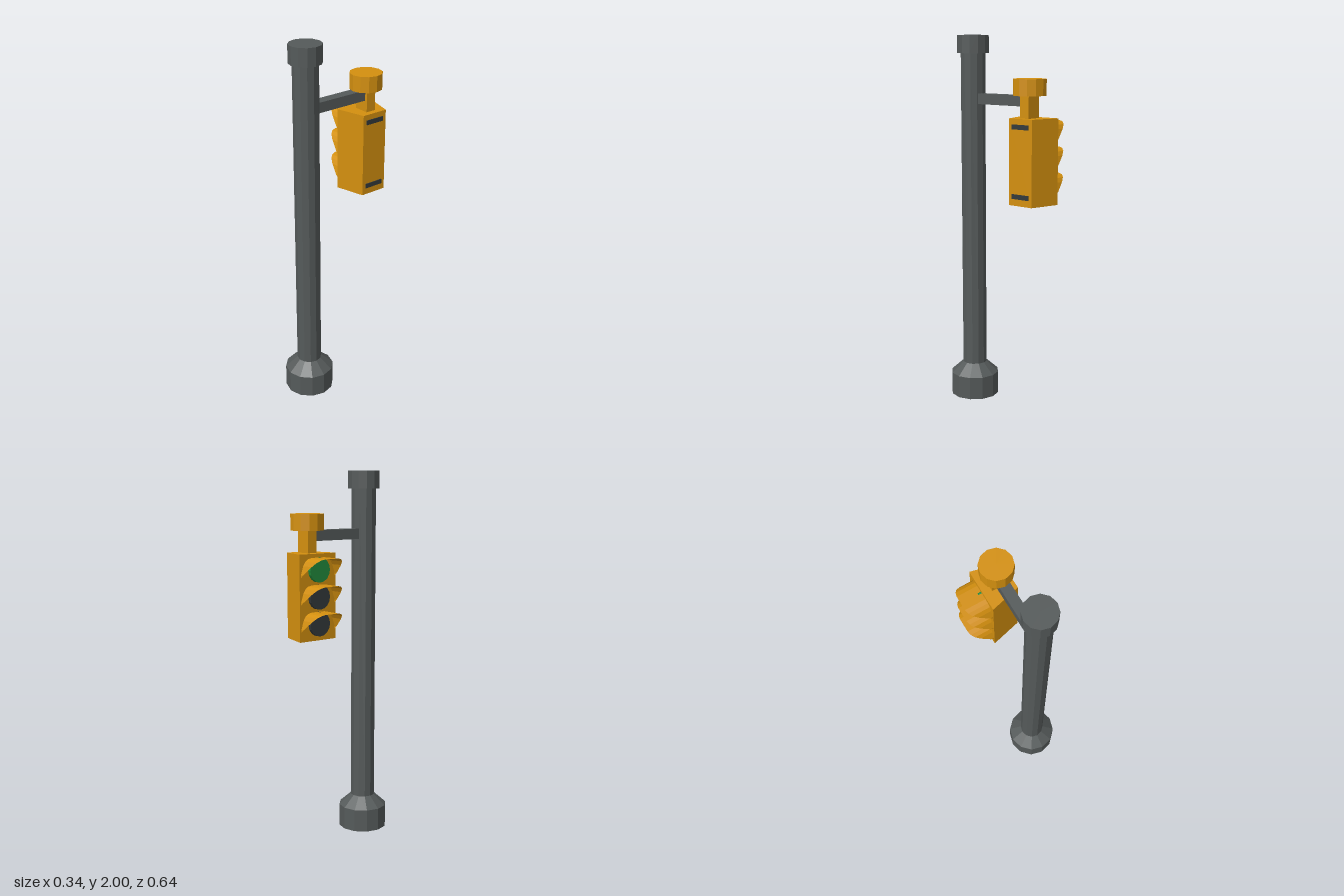
import * as THREE from 'three';

const make = (name, color) => {
  const m = new THREE.MeshStandardMaterial({ color, flatShading: true, side: THREE.DoubleSide });
  m.name = name;
  return m;
};

export function createModel() {
  const root = new THREE.Group();
  root.name = 'trafficLight';
  const grey = make('poleGrey', 0x555a5a);
  const yellow = make('housingYellow', 0xd4900f);
  const dark = make('darkLens', 0x33393b);
  const green = make('greenLens', 0x218a3c);

  const add = (name, geo, mat, x = 0, y = 0, z = 0, parent = root) => {
    const mesh = new THREE.Mesh(geo, mat);
    mesh.name = name;
    mesh.position.set(x, y, z);
    parent.add(mesh);
    return mesh;
  };
  const lathe = (pts) => new THREE.LatheGeometry(pts.map(([r, y]) => new THREE.Vector2(r, y)), 12);

  // Post, hollow at the bottom
  const px = 0.033, pz = 0.185, hz = -0.2035;
  add('base', lathe([[0.134, 0], [0.134, 0.125], [0.067, 0.185]]), grey, px, 0, pz);
  add('pole', lathe([[0.067, 0.185], [0.067, 1.905]]), grey, px, 0, pz);
  add('poleCap', new THREE.CylinderGeometry(0.086, 0.086, 0.095, 12), grey, px, 1.9525, pz);

  // Arm reaching back to the signal
  add('arm', new THREE.BoxGeometry(0.057, 0.055, 0.31), grey, px, 1.667, -0.025);
  add('stem', new THREE.BoxGeometry(0.085, 0.13, 0.056), yellow, px, 1.64, hz);
  add('stemCap', new THREE.CylinderGeometry(0.087, 0.087, 0.085, 12), yellow, px, 1.7375, hz);

  // Housing, tapering towards its back (+x)
  const outline = new THREE.Shape([
    [-0.055, 0.087], [0.108, 0.128], [0.108, 0.279], [-0.055, 0.322],
  ].map(([x, y]) => new THREE.Vector2(x, y)));
  const housing = new THREE.ExtrudeGeometry(outline, { depth: 0.45, bevelEnabled: false });
  housing.rotateX(-Math.PI / 2);
  add('housing', housing, yellow, 0, 1.13, 0);

  // Curved hood whose rim falls away towards the housing
  const half = [[0.041, -0.17], [0.064, -0.164], [0.082, -0.15], [0.095, -0.125], [0.11, -0.072], [0.11, -0.055]];
  const rim = [...half.map(([z, x]) => [-z, x]).reverse(), ...half];
  const verts = [], index = [];
  rim.forEach(([z, x], i) => {
    const y = -(x + 0.17) * 0.86;
    verts.push(x, y, z, -0.055, y, z);
    if (i) {
      const a = 2 * i - 2;
      index.push(a, a + 2, a + 1, a + 1, a + 2, a + 3);
    }
  });
  const hood = new THREE.BufferGeometry();
  hood.setAttribute('position', new THREE.Float32BufferAttribute(verts, 3));
  hood.setIndex(index);
  hood.computeVertexNormals();

  // Three lamps facing -x, the top one green
  const lens = new THREE.CylinderGeometry(0.064, 0.064, 0.02, 16).rotateZ(Math.PI / 2);
  [1.56, 1.42, 1.28].forEach((y, i) => {
    const lamp = new THREE.Group();
    lamp.name = 'lamp' + (i + 1);
    root.add(lamp);
    add('hood', hood, yellow, 0, y, hz, lamp);
    add('lens', lens, i === 0 ? green : dark, -0.064, y - 0.063, hz, lamp);
  });

  // Latches on the back of the housing
  for (const y of [1.178, 1.538]) {
    add('latch', new THREE.BoxGeometry(0.008, 0.025, 0.11), dark, 0.108, y, hz);
  }
  return root;
}
